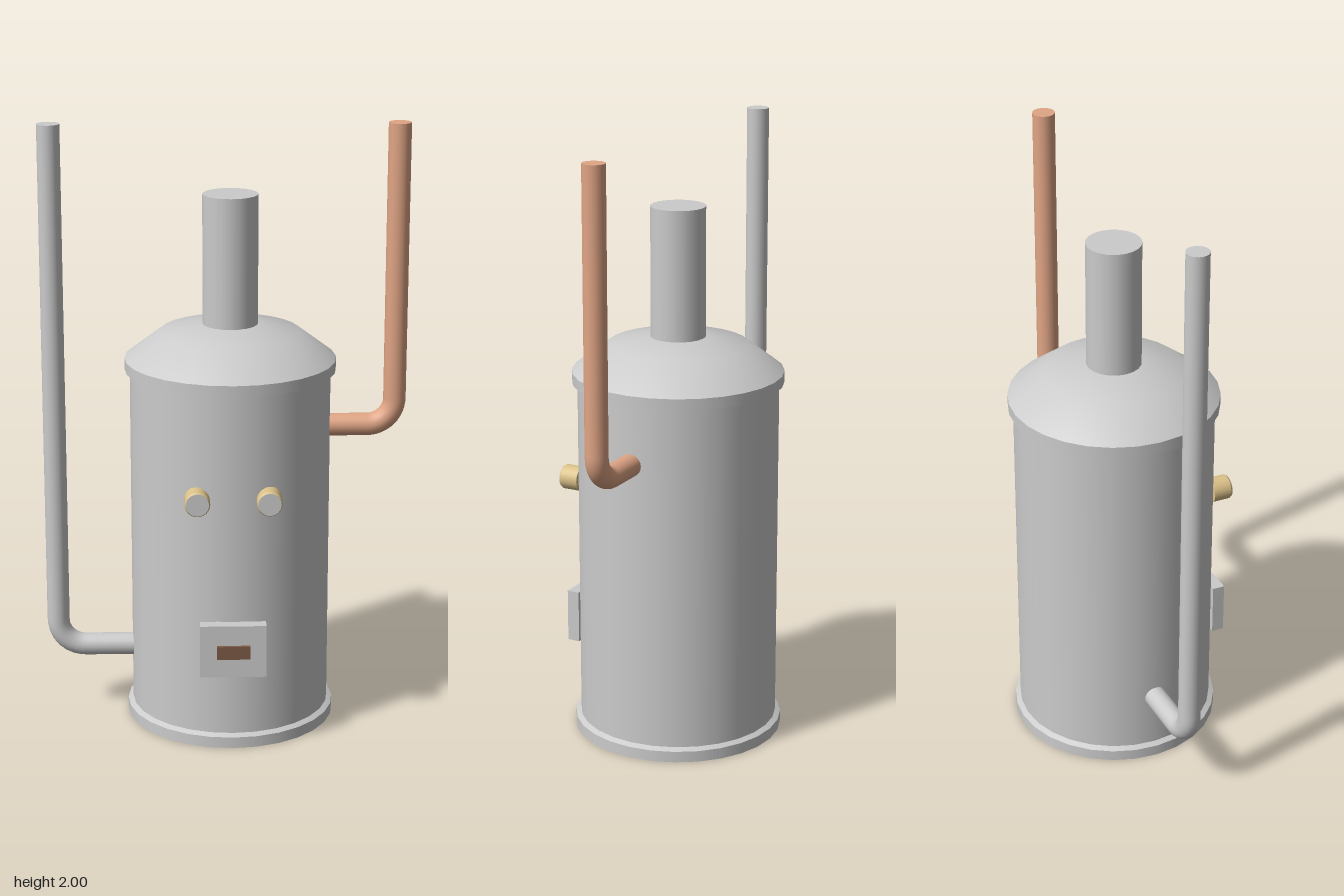
import * as THREE from 'three';

const SIDES = 28;
const grey = new THREE.MeshStandardMaterial({ color: 0xcccccc });
const greyDouble = new THREE.MeshStandardMaterial({ color: 0xcccccc, side: THREE.DoubleSide });
const copper = new THREE.MeshStandardMaterial({ color: 0xe0a585 });
const brass = new THREE.MeshStandardMaterial({ color: 0xdcc28a });
const wood = new THREE.MeshStandardMaterial({ color: 0x7d5a44 });

// Adds a named mesh to a parent
function add(parent, name, geometry, material, x = 0, y = 0, z = 0) {
  const mesh = new THREE.Mesh(geometry, material);
  mesh.name = name;
  mesh.position.set(x, y, z);
  parent.add(mesh);
  return mesh;
}

// Upright cylinder or cone between two heights
function drum(parent, name, rBottom, rTop, y0, y1, sides = SIDES) {
  return add(parent, name, new THREE.CylinderGeometry(rTop, rBottom, y1 - y0, sides), grey, 0, (y0 + y1) / 2, 0);
}

// Pipe leaving the tank sideways and bending up to y = 2
function elbowPipe(parent, name, x, y, startX, material) {
  const r = 0.037, bend = 0.09, s = Math.sign(x), z = -0.016;
  const pipe = new THREE.Group();
  pipe.name = name;
  const path = new THREE.CurvePath();
  const p = (px, py) => new THREE.Vector3(px, py, z);
  const k = bend * 0.448; // handle offset for a quarter circle
  path.add(new THREE.LineCurve3(p(startX, y), p(x - s * bend, y)));
  path.add(new THREE.CubicBezierCurve3(p(x - s * bend, y), p(x - s * k, y), p(x, y + k), p(x, y + bend)));
  path.add(new THREE.LineCurve3(p(x, y + bend), p(x, 2)));
  add(pipe, name + 'Tube', new THREE.TubeGeometry(path, 100, r, 20), material);
  add(pipe, name + 'Cap', new THREE.CircleGeometry(r, 20).rotateX(-Math.PI / 2), material, x, 2, z);
  parent.add(pipe);
}

export function createModel() {
  const model = new THREE.Group();
  model.name = 'boiler';

  // Tank with base and top rims
  const tank = new THREE.Group();
  tank.name = 'tank';
  tank.position.set(0.017, 0, -0.016);
  model.add(tank);
  drum(tank, 'body', 0.328, 0.328, 0.01, 1.22);
  drum(tank, 'baseRim', 0.345, 0.345, 0, 0.037);
  drum(tank, 'baseBevel', 0.345, 0.328, 0.037, 0.046);
  drum(tank, 'topRim', 0.345, 0.345, 1.196, 1.233);

  // Shallow domed lid and flue
  const lid = [[0.345, 1.233], [0.23, 1.321], [0.087, 1.347], [0, 1.35]].map(([r, y]) => new THREE.Vector2(r, y));
  add(tank, 'lid', new THREE.LatheGeometry(lid, SIDES), greyDouble);
  drum(tank, 'flue', 0.09, 0.09, 1.3, 1.773, 20);

  // Inlet and outlet pipes
  elbowPipe(model, 'greyPipe', -0.56, 0.232, -0.28, grey);
  elbowPipe(model, 'copperPipe', 0.556, 1.0, 0.31, copper);

  // Pair of gauges: brass casing with a grey face
  for (const side of [-1, 1]) {
    const gauge = new THREE.Group();
    gauge.name = side < 0 ? 'rightGauge' : 'leftGauge';
    gauge.position.set(0.017 + side * 0.115, 0.847, 0);
    model.add(gauge);
    const disc = (r0, r1, d) => new THREE.CylinderGeometry(r1, r0, d, 24).rotateX(Math.PI / 2);
    add(gauge, 'casing', disc(0.041, 0.041, 0.06), brass, 0, 0, 0.311);
    add(gauge, 'casingBevel', disc(0.041, 0.037, 0.006), brass, 0, 0, 0.344);
    add(gauge, 'face', disc(0.037, 0.037, 0.004), grey, 0, 0, 0.346);
  }

  // Firebox door with wooden handle
  add(model, 'door', new THREE.BoxGeometry(0.214, 0.176, 0.042), grey, 0.016, 0.348, 0.328);
  add(model, 'doorHandle', new THREE.BoxGeometry(0.108, 0.044, 0.02), wood, 0.017, 0.347, 0.35);

  return model;
}
